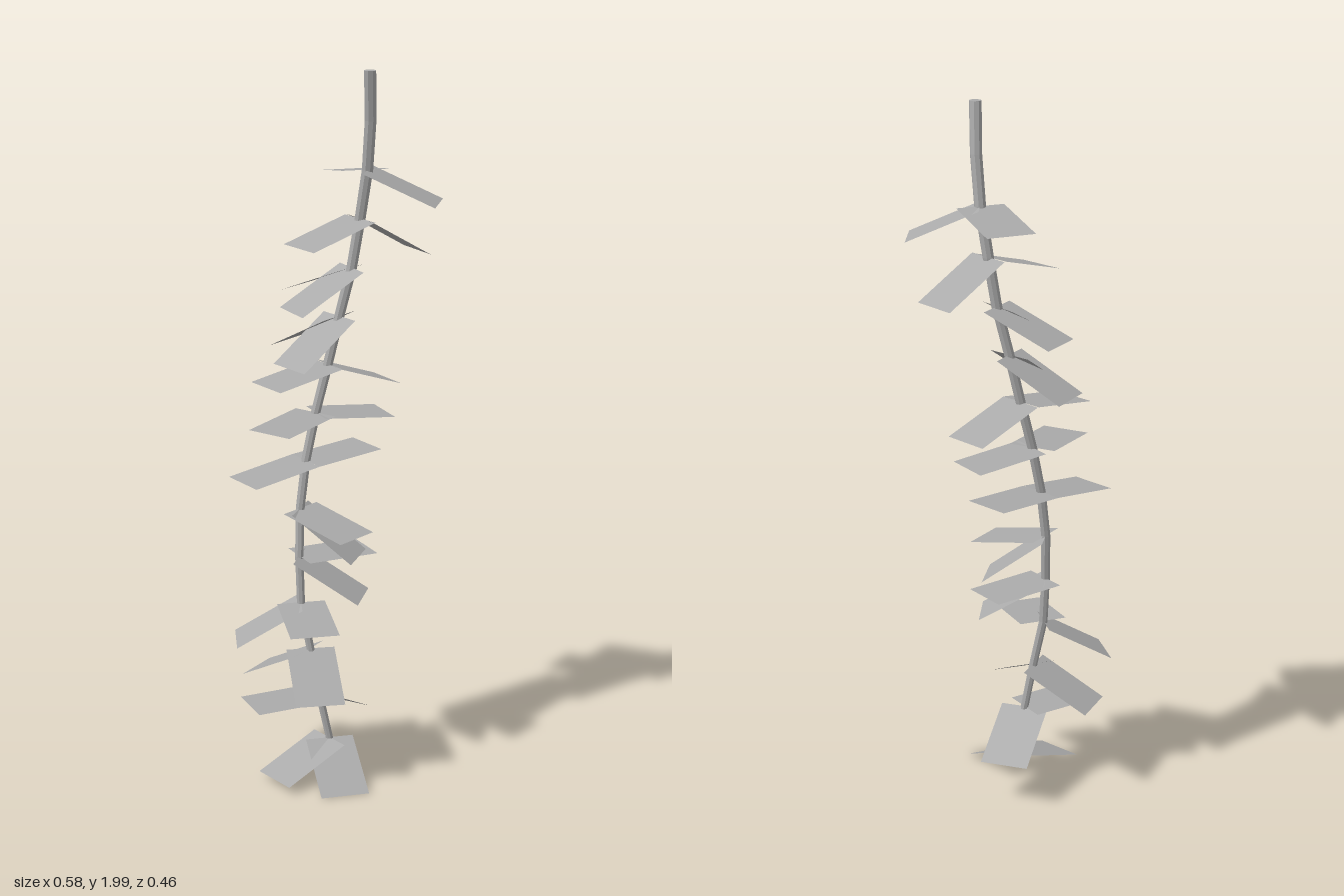
import * as THREE from 'three';

// Stem nodes from bottom to top: [x, z], evenly spaced in height
const STEM = [
  [-0.03, 0.03], [-0.055, 0.015], [-0.075, 0], [-0.095, -0.02], [-0.095, -0.03],
  [-0.085, -0.045], [-0.065, -0.05], [-0.035, -0.05], [0, -0.045], [0.03, -0.035],
  [0.06, -0.02], [0.08, -0.01], [0.092, 0.01], [0.09, 0.032], [0.077, 0.055],
];
const BOTTOM = 0.1, TOP = 2;
const STEP = (TOP - BOTTOM) / (STEM.length - 1);

// Two leaf directions [x, y, z] for each leafy node, bottom to top
const LEAVES = [
  [[-0.036, -0.095, 0.192], [-0.19, -0.07, 0.05]],
  [[0.14, -0.095, -0.11], [-0.2, 0, 0]],
  [[-0.05, -0.095, 0.185], [-0.105, -0.1, -0.16]],
  [[-0.18, -0.11, -0.064], [-0.045, -0.02, 0.198]],
  [[0.13, -0.095, 0.1], [0.2, -0.005, -0.01]],
  [[0.12, -0.12, 0.11], [0.085, -0.04, 0.185]],
  [[-0.2, -0.025, 0.04], [0.195, 0.01, -0.04]],
  [[-0.175, -0.01, 0.1], [0.205, -0.02, 0]],
  [[-0.2, -0.03, 0.045], [0.195, -0.07, -0.032]],
  [[-0.09, -0.1, -0.168], [-0.169, -0.12, 0.043]],
  [[-0.09, -0.08, -0.177], [-0.185, -0.105, 0.01]],
  [[-0.197, -0.055, 0.043], [0.188, -0.11, -0.02]],
  [[0.16, -0.085, 0.115], [0.035, -0.035, -0.205]],
];

// Tapered cylinder whose rings are shifted along the stem nodes
function stemGeometry() {
  const geo = new THREE.CylinderGeometry(0.017, 0.011, TOP - BOTTOM, 8, STEM.length - 1);
  geo.translate(0, (TOP + BOTTOM) / 2, 0);
  const p = geo.attributes.position;
  for (let i = 0; i < p.count; i++) {
    const [x, z] = STEM[Math.round((p.getY(i) - BOTTOM) / STEP)];
    p.setX(i, p.getX(i) + x);
    p.setZ(i, p.getZ(i) + z);
  }
  geo.computeVertexNormals();
  return geo;
}

export function createModel() {
  const group = new THREE.Group();
  group.name = 'hangingVine';
  const grey = new THREE.MeshStandardMaterial({ color: 0xaaaaaa, flatShading: true, side: THREE.DoubleSide });
  grey.name = 'grey';

  const stem = new THREE.Mesh(stemGeometry(), grey);
  stem.name = 'stem';
  group.add(stem);

  // Flat rectangular leaf, attached by the middle of its short edge
  const leafGeo = new THREE.PlaneGeometry(0.137, 0.212).translate(0, 0.106, 0);
  const up = new THREE.Vector3(0, 1, 0);
  LEAVES.forEach((pair, i) => pair.forEach((d) => {
    const dir = new THREE.Vector3(...d).normalize();
    const side = dir.clone().cross(up).normalize();
    const normal = side.clone().cross(dir);
    const leaf = new THREE.Mesh(leafGeo, grey);
    leaf.name = 'leaf';
    leaf.quaternion.setFromRotationMatrix(new THREE.Matrix4().makeBasis(side, dir, normal));
    leaf.position.set(STEM[i][0], BOTTOM + i * STEP, STEM[i][1]);
    group.add(leaf);
  }));
  return group;
}
